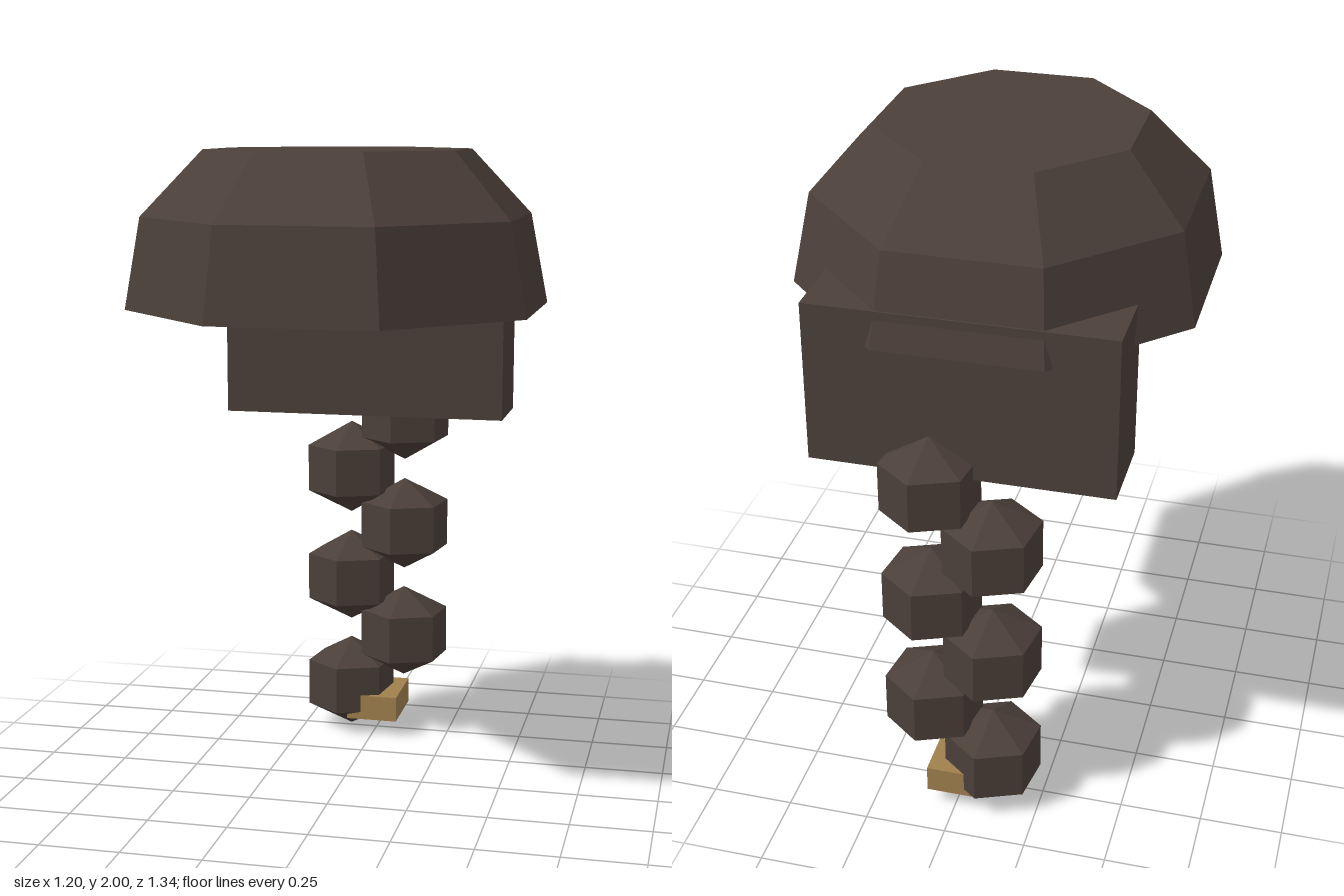
import * as THREE from 'three';

// Split the faces so every facet has its own flat normal
function faceted(geometry) {
  const g = geometry.index ? geometry.toNonIndexed() : geometry;
  g.computeVertexNormals();
  return g;
}

export function createModel() {
  const hair = new THREE.MeshStandardMaterial({ color: 0x4b3f39 });
  hair.name = 'dark brown hair';
  const gold = new THREE.MeshStandardMaterial({ color: 0x9f7f4d });
  gold.name = 'gold';

  const model = new THREE.Group();
  model.name = 'braidedHair';
  const add = (name, geometry, material, x, y, z, parent = model) => {
    const mesh = new THREE.Mesh(geometry, material);
    mesh.name = name;
    mesh.position.set(x, y, z);
    parent.add(mesh);
    return mesh;
  };

  // Eight-sided cap, closed above and below; the rim sits slightly further back
  const toCorner = 1 / Math.cos(Math.PI / 8);
  const profile = [[0, 1.53], [0.6, 1.53], [0.55, 1.805], [0.376, 2], [0, 2]]
    .map(([half, y]) => new THREE.Vector2(half * toCorner, y));
  const cap = new THREE.LatheGeometry(profile, 8, Math.PI / 8);
  cap.scale(1, 1, 1.015);
  const p = cap.attributes.position;
  for (let i = 0; i < p.count; i++) {
    if (p.getY(i) < 1.6) p.setZ(i, p.getZ(i) - 0.015);
  }
  // Drop the zero-area triangles at the axis by keeping only real facets
  add('cap', faceted(cap), hair, 0, 0, 0.079);

  // Block of hair at the nape
  add('napeHair', new THREE.BoxGeometry(0.91, 0.5, 0.265), hair, 0, 1.39, -0.3925);

  // Braid of six-sided beads, alternating left and right
  const braid = new THREE.Group();
  braid.name = 'braid';
  model.add(braid);
  const bead = new THREE.SphereGeometry(0.172, 6, 3);
  bead.scale(1, 0.157 / 0.172, 1);
  bead.rotateY(THREE.MathUtils.degToRad(22));
  const beadFlat = faceted(bead);
  for (let i = 0; i < 6; i++) {
    const x = i % 2 ? 0.09 : -0.095;
    add('braidStrand' + (i + 1), beadFlat, hair, x, 0.159 + i * 0.19, -0.524, braid);
  }

  // Clasp at the end of the braid
  add('braidClasp', new THREE.BoxGeometry(0.172, 0.084, 0.23), gold, 0, 0.097, -0.523);

  return model;
}
